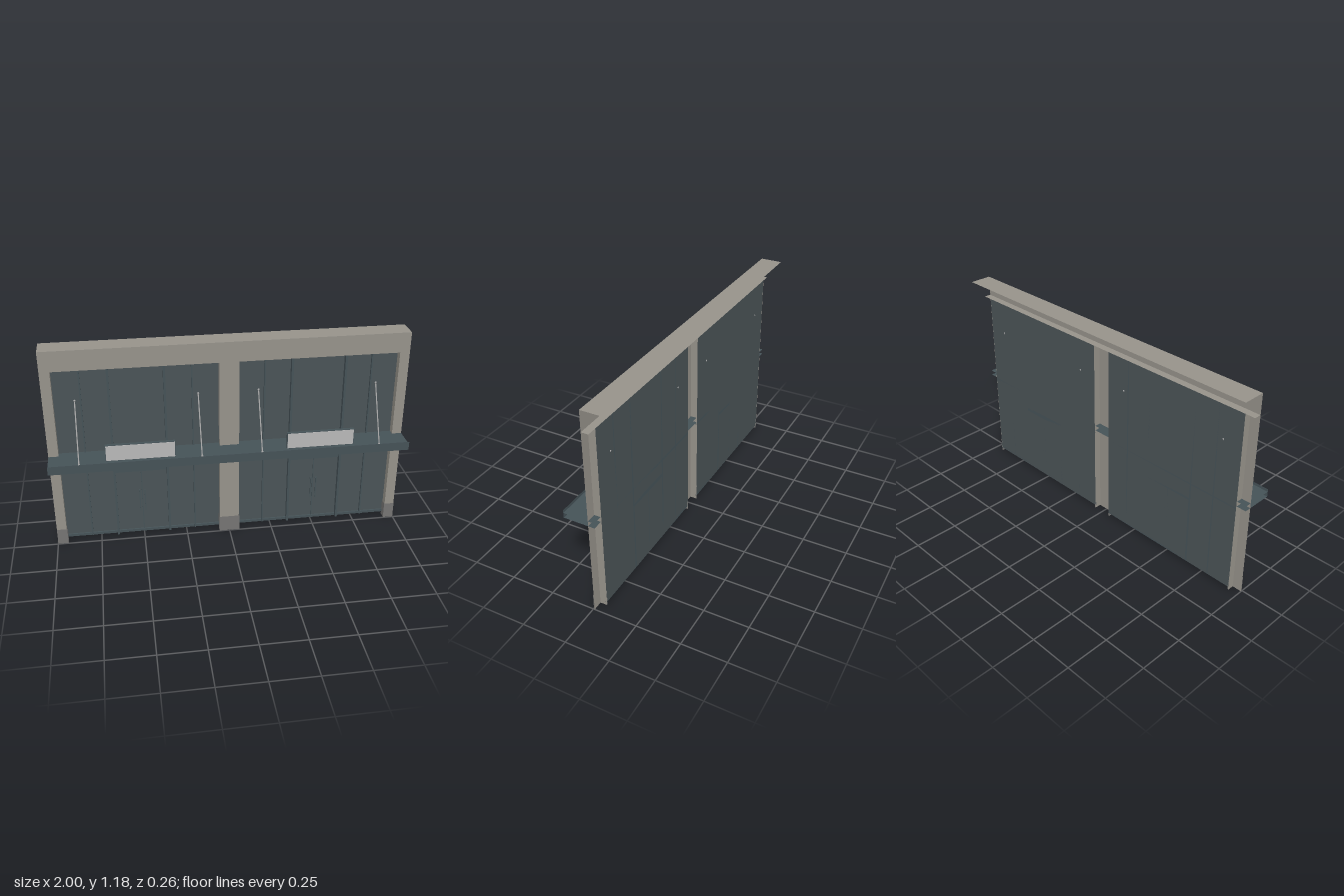
import * as THREE from 'three';

function mat(name, color) {
  const m = new THREE.MeshStandardMaterial({ color, side: THREE.DoubleSide });
  m.name = name;
  return m;
}

export function createModel() {
  const stone = mat('stone', 0x96928a);
  const plinthGrey = mat('plinth grey', 0x757473);
  const frame = mat('frame', 0x455257);
  const panel = mat('panel', 0x4a5356);
  const signGrey = mat('sign grey', 0xb8b8b8);
  const steel = mat('steel', 0xa6a6a6);

  const root = new THREE.Group();
  root.name = 'shopfront';

  const add = (name, geo, m, parent = root) => {
    const mesh = new THREE.Mesh(geo, m);
    mesh.name = name;
    parent.add(mesh);
    return mesh;
  };
  // Box given by its limits
  const box = (name, m, x0, x1, y0, y1, z0, z1, parent) =>
    add(name, new THREE.BoxGeometry(x1 - x0, y1 - y0, z1 - z0), m, parent)
      .position.set((x0 + x1) / 2, (y0 + y1) / 2, (z0 + z1) / 2);
  // Single sheets: facing z, facing y, facing x
  const sheetZ = (name, m, x0, x1, y0, y1, z, parent) =>
    add(name, new THREE.PlaneGeometry(x1 - x0, y1 - y0), m, parent)
      .position.set((x0 + x1) / 2, (y0 + y1) / 2, z);
  const sheetY = (name, m, x0, x1, z0, z1, y, parent) =>
    add(name, new THREE.PlaneGeometry(x1 - x0, z1 - z0).rotateX(-Math.PI / 2), m, parent)
      .position.set((x0 + x1) / 2, y, (z0 + z1) / 2);
  const sheetX = (name, m, x, y0, y1, z0, z1, dir, parent) =>
    add(name, new THREE.PlaneGeometry(z1 - z0, y1 - y0).rotateY(dir * Math.PI / 2), m, parent)
      .position.set(x, (y0 + y1) / 2, (z0 + z1) / 2);

  const FRONT = -0.008, BACK = -0.048, HEAD = 1.07, TOP = 1.185;

  // Lintel: front, roof sheet and soffit
  sheetZ('lintel', stone, -1, 1, HEAD, TOP, FRONT);
  sheetY('roofSheet', stone, -1, 1, -0.133, FRONT, TOP);
  sheetY('soffit', stone, -1, 1, BACK, FRONT, HEAD);

  // Columns with their returns and plinths
  for (const [x0, x1] of [[-1, -0.945], [-0.055, 0.055], [0.945, 1]]) {
    const column = new THREE.Group();
    column.name = 'column';
    root.add(column);
    sheetZ('columnFace', stone, x0, x1, 0, HEAD, FRONT, column);
    const a = x0 > -1 ? x0 - 0.004 : x0, b = x1 < 1 ? x1 + 0.004 : x1;
    sheetZ('plinthFace', plinthGrey, a, b, 0, 0.095, FRONT + 0.004, column);
    if (x0 > -1) {
      sheetX('columnReturn', stone, x0, 0, HEAD, BACK, FRONT, -1, column);
      sheetX('plinthReturn', plinthGrey, a, 0, 0.095, BACK, FRONT + 0.004, -1, column);
    }
    if (x1 < 1) {
      sheetX('columnReturn', stone, x1, 0, HEAD, BACK, FRONT, 1, column);
      sheetX('plinthReturn', plinthGrey, b, 0, 0.095, BACK, FRONT + 0.004, 1, column);
    }
  }

  // Canopy: two decks and a fascia
  const canopy = new THREE.Group();
  canopy.name = 'canopy';
  root.add(canopy);
  sheetY('upperDeck', frame, -1, 1, -0.044, 0.13, 0.57, canopy);
  sheetY('lowerDeck', frame, -1, 1, -0.044, 0.13, 0.541, canopy);
  sheetZ('fascia', frame, -1, 1, 0.535, 0.585, 0.131, canopy);

  // Two identical bays
  for (const cx of [-0.5, 0.5]) {
    const bay = new THREE.Group();
    bay.name = 'bay';
    bay.position.x = cx;
    root.add(bay);
    const W = 0.445, G = -0.047;

    sheetZ('glazing', panel, -W, W, 0.022, HEAD, G, bay);
    box('bottomRail', frame, -W, W, 0.02, 0.035, G, -0.038, bay);
    box('middleRail', frame, -W, W, 0.525, 0.54, G, -0.038, bay);

    for (const s of [-1, 1]) {
      box('thinMullion', frame, s * 0.3 - 0.004, s * 0.3 + 0.004, 0.02, HEAD, G, -0.033, bay);
      box('mainMullion', frame, s * 0.15 - 0.006, s * 0.15 + 0.006, 0.02, HEAD, G, -0.02, bay);

      // Door handles
      box('doorHandle', frame, s * 0.015 - 0.003, s * 0.015 + 0.003, 0.17, 0.31, -0.03, -0.024, bay);
      for (const y of [0.19, 0.29])
        box('handlePost', frame, s * 0.015 - 0.002, s * 0.015 + 0.002, y - 0.002, y + 0.002, G, -0.03, bay);

      // Canopy stay rods
      const x = s * 0.333;
      const lo = new THREE.Vector3(x, 0.57, 0.108), hi = new THREE.Vector3(x, 0.885, -0.048);
      add('stayRod', new THREE.TubeGeometry(new THREE.LineCurve3(lo, hi), 1, 0.0035, 8), steel, bay);
      add('stayFixing', new THREE.SphereGeometry(0.006, 10, 6), steel, bay)
        .position.set(x, 0.883, -0.044);
      add('stayFoot', new THREE.CylinderGeometry(0.006, 0.006, 0.006, 10), steel, bay)
        .position.set(x, 0.573, 0.106);
    }

    // Door head and the meeting line of the door leaves
    box('doorHead', frame, -0.15, 0.15, 0.425, 0.45, G, -0.036, bay);
    box('doorMeetingStile', frame, -0.003, 0.003, 0.035, 0.425, G, -0.042, bay);

    // Blank sign standing on the canopy
    box('signBox', frame, -0.19, 0.19, 0.57, 0.665, 0.065, 0.083, bay);
    box('signFace', signGrey, -0.187, 0.187, 0.573, 0.662, 0.083, 0.085, bay);

    // Light under the canopy
    add('downlight', new THREE.CylinderGeometry(0.015, 0.015, 0.003, 16), signGrey, bay)
      .position.set(0, 0.539, 0.045);
  }

  return root;
}
